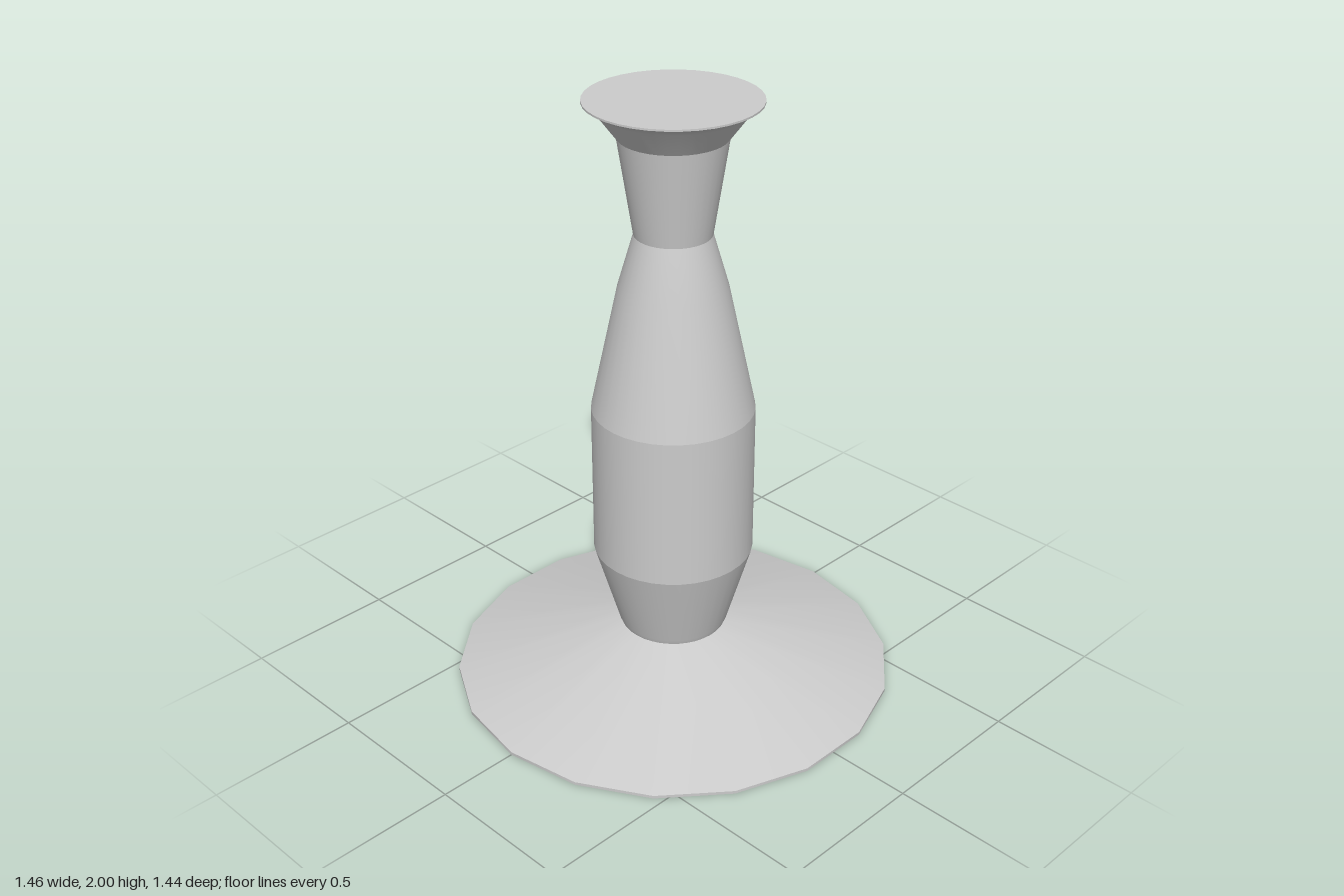
import * as THREE from 'three';

const material = new THREE.MeshStandardMaterial({ color: 0xcccccc });

// Turned section: profile of [radius, height] from bottom to top, smooth inside one section
function turned(name, profile, sides) {
  const points = profile.map(([r, y]) => new THREE.Vector2(r, y));
  const mesh = new THREE.Mesh(new THREE.LatheGeometry(points, sides, Math.PI / 2), material);
  mesh.name = name;
  return mesh;
}

export function createModel() {
  const model = new THREE.Group();
  model.name = 'candlestick';

  // Wide, shallow 18-sided foot
  const foot = new THREE.Group();
  foot.name = 'foot';
  foot.add(
    turned('footUnderside', [[0, 0], [0.731, 0]], 18),
    turned('footEdge', [[0.731, 0], [0.731, 0.01]], 18),
    turned('footSlope', [[0.731, 0.01], [0.17, 0.185]], 18)
  );
  model.add(foot);

  // Round stem, split where the profile has a sharp edge
  const stem = new THREE.Group();
  stem.name = 'stem';
  stem.add(
    turned('lowerTaper', [[0.172, 0.175], [0.182, 0.2], [0.262, 0.475]], 36),
    turned('barrel', [[0.262, 0.475], [0.262, 0.985]], 36),
    turned('shoulder', [[0.262, 0.985], [0.173, 1.4], [0.122, 1.575]], 36),
    turned('neck', [[0.122, 1.575], [0.17, 1.885]], 36)
  );
  model.add(stem);

  // Flared rim closed by a flat top
  const rim = new THREE.Group();
  rim.name = 'rim';
  rim.add(
    turned('flare', [[0.17, 1.885], [0.232, 1.968], [0.25, 1.984], [0.272, 1.994]], 36),
    turned('rimEdge', [[0.272, 1.994], [0.272, 2]], 36),
    turned('topFace', [[0.272, 2], [0, 2]], 36)
  );
  model.add(rim);

  return model;
}
